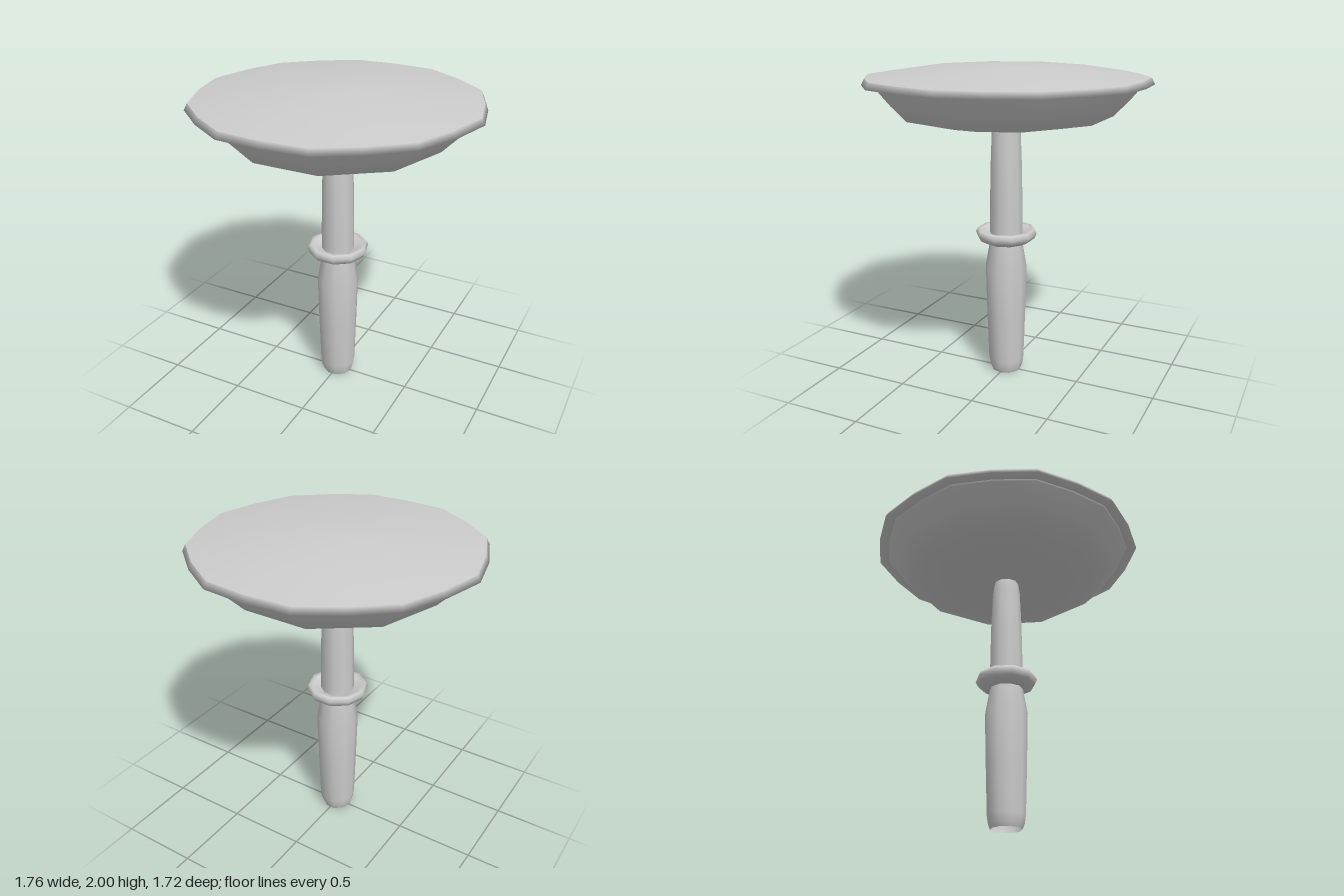
import * as THREE from 'three';
import { mergeVertices } from 'three/addons/utils/BufferGeometryUtils.js';

const SIDES = 10;
const material = new THREE.MeshStandardMaterial({ color: 0xcccccc, side: THREE.DoubleSide });

// Turns a profile of [radius, height, midScale] around y. With split = 2 each of the
// ten sides gets a middle vertex, pulled in by midScale.
function turned(name, profile, split = 1) {
  const points = profile.map(([r, y]) => new THREE.Vector2(r, y));
  const geo = new THREE.LatheGeometry(points, SIDES * split, Math.PI / 2);
  const pos = geo.attributes.position;
  for (let i = 0; i < pos.count; i++) {
    const column = Math.floor(i / points.length);
    if (column % split === 0) continue;
    const k = profile[i % points.length][2];
    pos.setX(i, pos.getX(i) * k);
    pos.setZ(i, pos.getZ(i) * k);
  }
  // weld the seam so the shading runs all the way around
  geo.deleteAttribute('uv');
  geo.deleteAttribute('normal');
  const welded = mergeVertices(geo, 1e-4);
  welded.computeVertexNormals();
  const mesh = new THREE.Mesh(welded, material);
  mesh.name = name;
  return mesh;
}

export function createModel() {
  const model = new THREE.Group();
  model.name = 'mushroom';
  const FLAT = Math.cos(Math.PI / SIDES); // middle vertex lies on the straight side
  const ROUND = 0.975;

  // Stem, open at the foot
  model.add(turned('stem', [
    [0.095, 0], [0.107, 0.03], [0.115, 0.08], [0.125, 0.4], [0.133, 0.72], [0.105, 0.88],
    [0.104, 0.97], [0.103, 1.1], [0.099, 1.35], [0.09, 1.58], [0.08, 1.65],
  ]));

  // Ring around the stem, slightly dished on top
  model.add(turned('collar', [
    [0.1, 0.88], [0.14, 0.887], [0.18, 0.91], [0.195, 0.943], [0.182, 0.97],
    [0.155, 0.967], [0.1, 0.94],
  ]));

  // Cap in three pieces so the rim keeps its sharp edges
  const cap = new THREE.Group();
  cap.name = 'cap';
  cap.add(
    turned('capUnderside', [
      [0, 1.65, 1], [0.42, 1.65, FLAT], [0.645, 1.693, FLAT], [0.74, 1.79, 0.965],
      [0.81, 1.875, ROUND], [0.815, 1.887, ROUND],
    ], 2),
    turned('capRim', [
      [0.81, 1.887, ROUND], [0.88, 1.885, ROUND], [0.86, 1.924, ROUND],
    ], 2),
    turned('capTop', [
      [0.86, 1.924, ROUND], [0.555, 1.97, FLAT], [0.2, 1.995, FLAT], [0, 2, 1],
    ], 2),
  );
  model.add(cap);
  return model;
}
